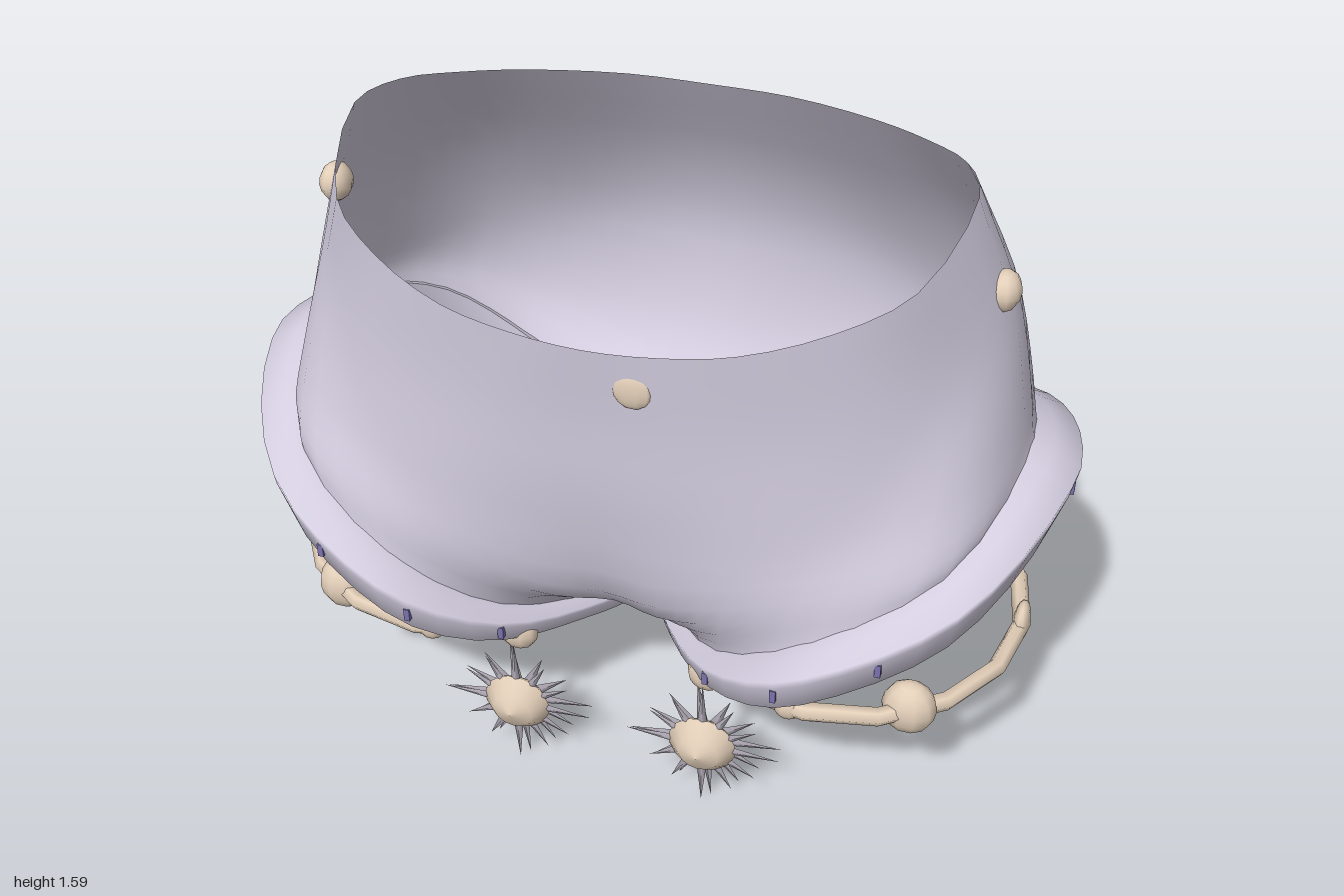
import * as THREE from 'three';

// Half rings (x >= 0), running from front centre round the side to back centre
const waist = [[0, 1.39, .57], [.16, 1.4, .565], [.32, 1.42, .54], [.5, 1.46, .46], [.64, 1.51, .34], [.71, 1.6, .08],
  [.66, 1.6, -.06], [.56, 1.585, -.16], [.42, 1.57, -.25], [.2, 1.55, -.34], [0, 1.54, -.365]];
const middle = [[0, 1.2, .55], [.2, 1.2, .55], [.4, 1.21, .51], [.6, 1.23, .41], [.74, 1.27, .25], [.815, 1.3, .05],
  [.77, 1.3, -.18], [.64, 1.27, -.36], [.46, 1.23, -.47], [.24, 1.2, -.55], [0, 1.2, -.56]];
const hip = [[0, .92, .53], [.18, .92, .54], [.37, .94, .53], [.59, .97, .46], [.78, 1.02, .33], [.865, 1.06, .07],
  [.83, 1.05, -.22], [.7, 1, -.45], [.5, .97, -.57], [.25, .96, -.62], [0, .95, -.61]];
const low = [[0, .6, .44], [.13, .62, .48], [.3, .7, .53], [.55, .8, .52], [.78, .88, .4], [.88, .97, .1],
  [.86, .96, -.18], [.75, .87, -.43], [.55, .75, -.55], [.27, .65, -.57], [0, .6, -.5]];
const leg = [[0, .385, .08], [.1, .42, .24], [.27, .51, .45], [.5, .67, .54], [.76, .82, .42], [.89, .94, .1],
  [.87, .92, -.15], [.74, .8, -.38], [.53, .62, -.47], [.22, .47, -.38], [0, .385, -.04]];

const vec = (p) => new THREE.Vector3(...p);
const mat = (name, color, side = THREE.FrontSide) => Object.assign(new THREE.MeshStandardMaterial({ color, side }), { name });

function add(parent, name, geometry, material, x = 0, y = 0, z = 0) {
  const mesh = new THREE.Mesh(geometry, material);
  mesh.name = name;
  mesh.position.set(x, y, z);
  parent.add(mesh);
  return mesh;
}

// Surface through rows of points; every row is a closed loop
function skin(rows) {
  const n = rows[0].length, index = [];
  for (let r = 0; r < rows.length - 1; r++) {
    for (let c = 0; c < n; c++) {
      const a = r * n + c, b = r * n + (c + 1) % n;
      index.push(a, a + n, b, b, a + n, b + n);
    }
  }
  const geometry = new THREE.BufferGeometry().setFromPoints(rows.flat());
  geometry.setIndex(index);
  geometry.computeVertexNormals();
  return geometry;
}

// Smooth closed loop sampled evenly by control point
function loop(points, count) {
  const curve = new THREE.CatmullRomCurve3(points, true);
  return Array.from({ length: count }, (_, i) => curve.getPoint(i / count));
}

function bodyGeometry() {
  const rings = [waist, middle, hip, low, leg].map((half) => {
    const mirrored = half.slice(1, -1).reverse().map(([x, y, z]) => [-x, y, z]);
    return loop([...half, ...mirrored].map(vec), 60);
  });
  const columns = rings[0].map((_, c) => new THREE.CatmullRomCurve3(rings.map((ring) => ring[c])).getPoints(14));
  return skin(Array.from({ length: 15 }, (_, r) => columns.map((col) => col[r])));
}

// Folded cuff: an angular flared section swept round the leg opening
function cuffRows(side) {
  const path = leg.map(vec);
  path[0].x = path[10].x = .035;
  const base = loop(path, 44);
  const section = [[-.015, .02], [.04, .012], [.11, -.02], [.105, -.05], [.075, -.15], [.03, -.15], [-.02, -.13], [-.02, -.05], [-.015, .02]];
  return section.map(([out, up]) => base.map((p) => {
    const d = new THREE.Vector3(p.x - .42, 0, p.z - .03).normalize();
    const w = THREE.MathUtils.lerp(.3, 1, THREE.MathUtils.smoothstep(p.x, .03, .5));
    const q = p.clone().addScaledVector(d, out * w * (1 - .3 * Math.abs(d.z)));
    q.y += up * Math.max(w * (1 - .2 * Math.abs(d.z)), .35);
    q.x = Math.max(q.x, .004) * side;
    return q;
  }));
}

// Spiked pendant with a domed centre, facing +z; two layers of twelve thin spikes
function pendant(metal, spikeMat) {
  const star = new THREE.Group();
  star.name = 'starPendant';
  const profile = [[0, -.018], [.07, -.018], [.085, 0], [.05, .036], [0, .052]].map(([x, y]) => new THREE.Vector2(x, y));
  add(star, 'pendantDome', new THREE.LatheGeometry(profile, 14), metal).rotation.x = Math.PI / 2;
  for (const layer of [0, 1]) {
    for (let i = 0; i < 12; i++) {
      const length = (i % 3 ? .155 : .195) - .06;
      const cone = new THREE.ConeGeometry(.014, length, 4);
      cone.translate(0, .06 + length / 2, 0).scale(1, 1, .4);
      add(star, 'pendantSpike', cone, spikeMat, 0, 0, -.022 * layer).rotation.z = i * Math.PI / 6 + layer * .1;
    }
  }
  return star;
}

export function createModel() {
  const model = new THREE.Group();
  model.name = 'shorts';
  const cloth = mat('lavender cloth', 0xd3cddf, THREE.DoubleSide);
  const metal = mat('tan metal', 0xe3cfb9);
  const spikeMat = mat('grey spike', 0xb4aeba);
  const thread = mat('violet thread', 0x7a72ae);

  add(model, 'shortsBody', bodyGeometry(), cloth);
  add(model, 'crotchStrip', new THREE.BoxGeometry(.07, .03, .2), cloth, 0, .375, .02);
  add(model, 'crotchStitch', new THREE.BoxGeometry(.02, .008, .1), thread, 0, .392, .02);

  for (const side of [1, -1]) {
    const rows = cuffRows(side);
    add(model, 'legCuff', skin(rows), cloth);

    // Small stitches on the front, side and back of the cuff
    for (const i of [8, 11, 14, 21, 30, 33]) {
      const p = rows[3][i].clone().lerp(rows[4][i], .3);
      add(model, 'cuffStitch', new THREE.BoxGeometry(.014, .035, .014), thread, p.x, p.y, p.z);
    }

    // Side button
    const button = add(model, 'sideButton', new THREE.SphereGeometry(.048, 10, 8), metal, side * .785, 1.38, .07);
    button.scale.x = .8;

    // Leg band with beads
    const band = new THREE.TorusGeometry(.45, .023, 6, 16);
    band.rotateX(Math.PI / 2).scale(.97, 1, 1);
    add(model, 'legBand', band, metal, side * .49, .415, .03);
    const beads = [[.24, .42, .055], [.45, .47, .04], [.72, .39, .073], [.925, .02, .053], [.72, -.29, .073], [.45, -.41, .04], [.24, -.36, .055]];
    for (const [x, z, r] of beads) {
      const bead = add(model, 'bandBead', new THREE.SphereGeometry(r, 10, 8), metal, side * x, .415, z);
      bead.scale.x = x > .9 ? .4 : .9;
      bead.scale.z = x > .9 ? 1 : .7;
    }

    // Hanging pendants, front and back
    for (const face of [1, -1]) {
      const star = pendant(metal, spikeMat);
      star.position.set(side * .24, .205, face > 0 ? .46 : -.4);
      if (face < 0) star.rotation.y = Math.PI;
      model.add(star);
    }
  }

  // Single off-centre button on the front
  add(model, 'frontButton', new THREE.SphereGeometry(.045, 10, 8), metal, .105, 1.3, .556).scale.z = .3;
  return model;
}
